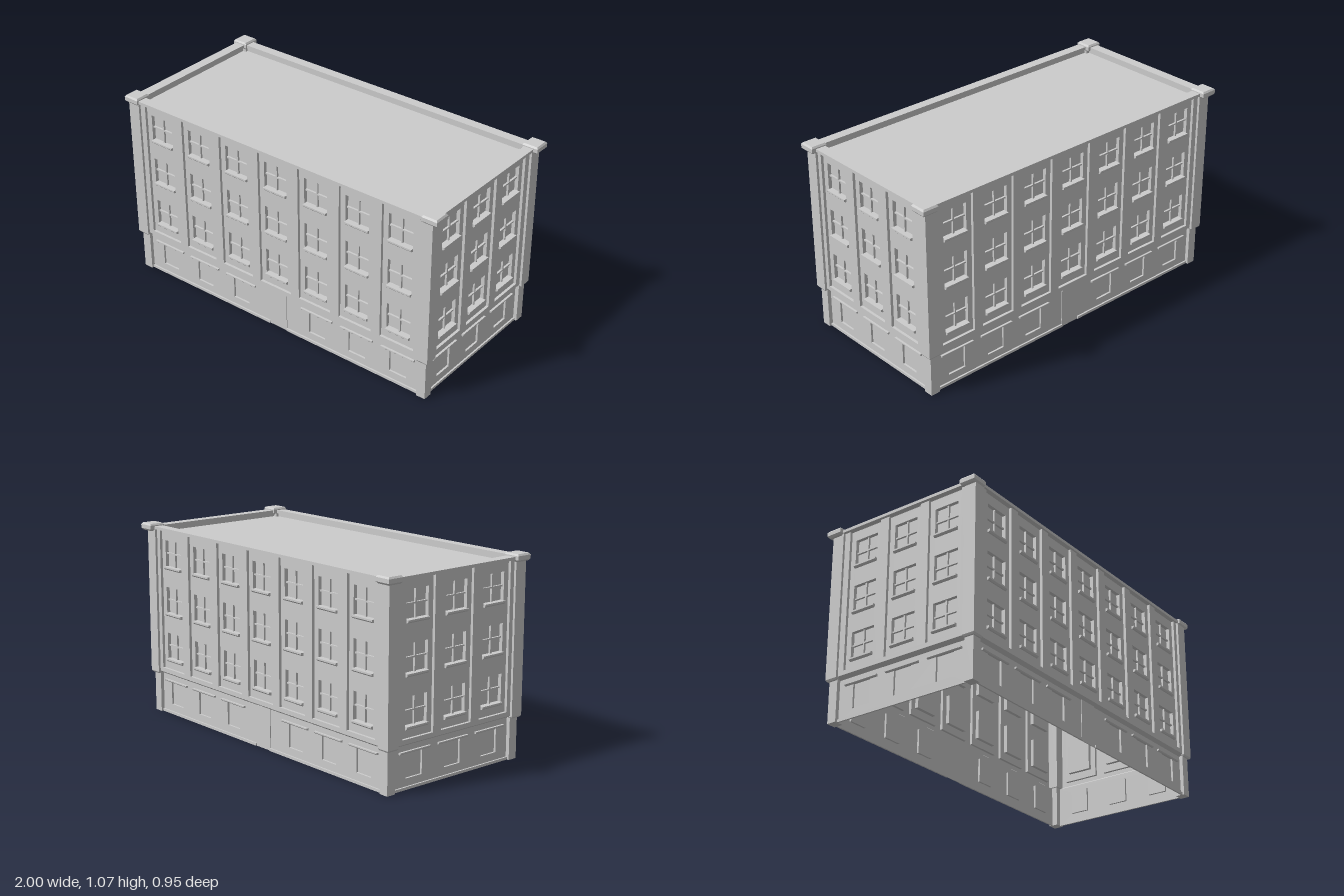
import * as THREE from 'three';

const mat = new THREE.MeshStandardMaterial({ color: 0xcccccc, flatShading: true, side: THREE.DoubleSide });

function add(parent, name, geometry, x = 0, y = 0, z = 0) {
  const mesh = new THREE.Mesh(geometry, mat);
  mesh.name = name;
  mesh.position.set(x, y, z);
  parent.add(mesh);
  return mesh;
}

// Box given by its two extremes on each axis
function block(parent, name, x0, x1, y0, y1, z0, z1) {
  return add(parent, name, new THREE.BoxGeometry(x1 - x0, y1 - y0, z1 - z0),
    (x0 + x1) / 2, (y0 + y1) / 2, (z0 + z1) / 2);
}

// Four side walls of an opening, without front and back
function reveal(parent, name, [x0, x1, y0, y1], z0, z1) {
  const mesh = block(parent, name, x0, x1, y0, y1, z0, z1);
  mesh.geometry.setIndex(Array.from(mesh.geometry.index.array.slice(0, 24)));
  mesh.geometry.clearGroups();
}

function rect(Type, [x0, x1, y0, y1]) {
  return new Type([[x0, y0], [x1, y0], [x1, y1], [x0, y1]].map(p => new THREE.Vector2(...p)));
}

// Rectangle with rectangular openings, each [x0, x1, y0, y1]
function pierced(outer, openings) {
  const shape = rect(THREE.Shape, outer);
  shape.holes = openings.map(o => rect(THREE.Path, o));
  return shape;
}

// Flat sheet facing +z
function sheet(parent, name, outer, openings, z) {
  return add(parent, name, new THREE.ShapeGeometry(pierced(outer, openings)), 0, 0, z);
}

// Horizontal rectangular ring between two heights
function ring(parent, name, hx, hz, ix, iz, y0, y1) {
  const g = new THREE.ExtrudeGeometry(pierced([-hx, hx, -hz, hz], [[-ix, ix, -iz, iz]]),
    { depth: y1 - y0, bevelEnabled: false });
  g.rotateX(-Math.PI / 2);
  return add(parent, name, g, 0, y0, 0);
}

// Projecting ledge with its lower front edge bevelled
function ledge(parent, name, c, half, y0, y1, z0, z1) {
  const b = (y1 - y0) * 0.45;
  const profile = [[z0, y0], [z1 - b, y0], [z1, y0 + b], [z1, y1], [z0, y1]];
  const g = new THREE.ExtrudeGeometry(new THREE.Shape(profile.map(p => new THREE.Vector2(...p))),
    { depth: half * 2, bevelEnabled: false });
  g.rotateY(-Math.PI / 2);
  return add(parent, name, g, c + half);
}

// Square post from pairs of half-width and height
function post(parent, name, profile, x, z) {
  const points = profile.map(([h, y]) => new THREE.Vector2(h * Math.SQRT2, y));
  return add(parent, name, new THREE.LatheGeometry(points, 4, Math.PI / 4), x, 0, z);
}

const PITCH = 0.258, PANEL = 0.102, WIN = 0.0715;
const ROWS = [0.31, 0.569, 0.829], WIN_H = 0.153;
const bayCentres = count => Array.from({ length: count }, (_, i) => (i - (count - 1) / 2) * PITCH);

// Upper storeys: pilaster grid, recessed bays, windows with sills
function upperFacade(count, half, dist) {
  const g = new THREE.Group();
  g.name = 'upperFacade';
  const panel = dist - 0.015, pane = dist - 0.035;
  const bays = bayCentres(count).map(c => [c - PANEL, c + PANEL, 0.26, 1.037]);
  sheet(g, 'pilasters', [-half, half, 0.236, 1.041], bays, dist);
  for (const bay of bays) {
    const c = (bay[0] + bay[1]) / 2;
    const windows = ROWS.map(y => [c - WIN, c + WIN, y, y + WIN_H]);
    reveal(g, 'bayReveal', bay, panel, dist);
    sheet(g, 'bayWall', bay, windows, panel);
    for (const win of windows) {
      const y = win[2], mid = y + 0.081;
      reveal(g, 'windowReveal', win, pane, panel);
      sheet(g, 'windowPane', win, [], pane);
      block(g, 'verticalGlazingBar', c - 0.004, c + 0.004, y, y + WIN_H, pane, pane + 0.011);
      block(g, 'horizontalGlazingBar', c - WIN, c + WIN, mid - 0.004, mid + 0.004, pane, pane + 0.011);
      ledge(g, 'windowSill', c, WIN, y - 0.008, y + 0.008, pane, panel + 0.014);
    }
  }
  return g;
}

// Ground floor: blank openings under lintels, plinth, optional central entrance
function groundFacade(count, half, dist, entrance) {
  const g = new THREE.Group();
  g.name = 'groundFacade';
  const openings = bayCentres(count).filter(c => !entrance || Math.abs(c) > 0.1)
    .map(c => [c - 0.053, c + 0.053, 0.054, 0.186]);
  sheet(g, 'groundWall', [-half, half, 0, 0.222], openings, dist);
  for (const o of openings) {
    reveal(g, 'groundWindowReveal', o, dist - 0.011, dist);
    sheet(g, 'groundWindow', o, [], dist - 0.011);
    ledge(g, 'lintel', (o[0] + o[1]) / 2, PANEL, 0.182, 0.193, dist, dist + 0.012);
  }
  const gap = entrance ? 0.057 : 0;
  if (entrance) block(g, 'entrancePanel', -gap, gap, 0, 0.224, dist, dist + 0.004);
  for (const [x0, x1] of [[-half, -gap], [gap, half]])
    block(g, 'plinth', x0, x1, 0, 0.014, dist, dist + 0.009);
  return g;
}

export function createModel() {
  const model = new THREE.Group();
  model.name = 'building';
  const body = new THREE.Group();
  body.name = 'buildingBody';
  body.position.set(-0.003, 0, 0.008);
  model.add(body);

  // Four sides: long faces at front and back, short faces at the ends
  for (let i = 0; i < 4; i++) {
    const long = i % 2 === 0;
    const half = long ? 0.915 : 0.4;
    const upper = long ? 0.447 : 0.962, lower = long ? 0.426 : 0.938;
    const side = new THREE.Group();
    side.name = ['frontSide', 'leftSide', 'backSide', 'rightSide'][i];
    side.rotation.y = i * Math.PI / 2;
    side.position.set(long ? 0.003 : 0, 0, long ? 0 : 0.005);
    side.add(upperFacade(long ? 7 : 3, half, upper), groundFacade(long ? 7 : 3, half, lower, long));
    // Sloping underside between ground floor and upper storeys
    const run = upper - lower, rise = 0.014;
    const soffit = add(side, 'soffit', new THREE.PlaneGeometry(half * 2, Math.hypot(run, rise)),
      0, 0.222 + rise / 2, (upper + lower) / 2);
    soffit.rotation.x = Math.PI / 2 + Math.atan2(-rise, run);
    body.add(side);
  }

  // Parapet, coping and roof
  ring(body, 'parapet', 0.945, 0.43, 0.925, 0.406, 1.015, 1.04);
  ring(body, 'coping', 0.978, 0.458, 0.922, 0.403, 1.037, 1.053);
  sheet(body, 'roof', [-0.945, 0.945, -0.43, 0.43], [], 0).rotation.x = -Math.PI / 2;
  body.children.at(-1).position.y = 1.018;

  // Corner piers with bevelled square caps
  for (const sx of [-1, 1]) for (const sz of [-1, 1]) {
    post(body, 'upperPier', [[0, 0.221], [0.029, 0.221], [0.035, 0.23], [0.035, 1.035]], sx * 0.94, sz * 0.425);
    post(body, 'lowerPier', [[0, 0], [0.026, 0], [0.026, 0.225]], sx * 0.933, sz * 0.42);
    post(model, 'pierCap', [[0, 1.027], [0.036, 1.027], [0.045, 1.037], [0.045, 1.058], [0.038, 1.067], [0, 1.067]],
      sx * 0.955, sz * 0.431);
  }
  return model;
}
